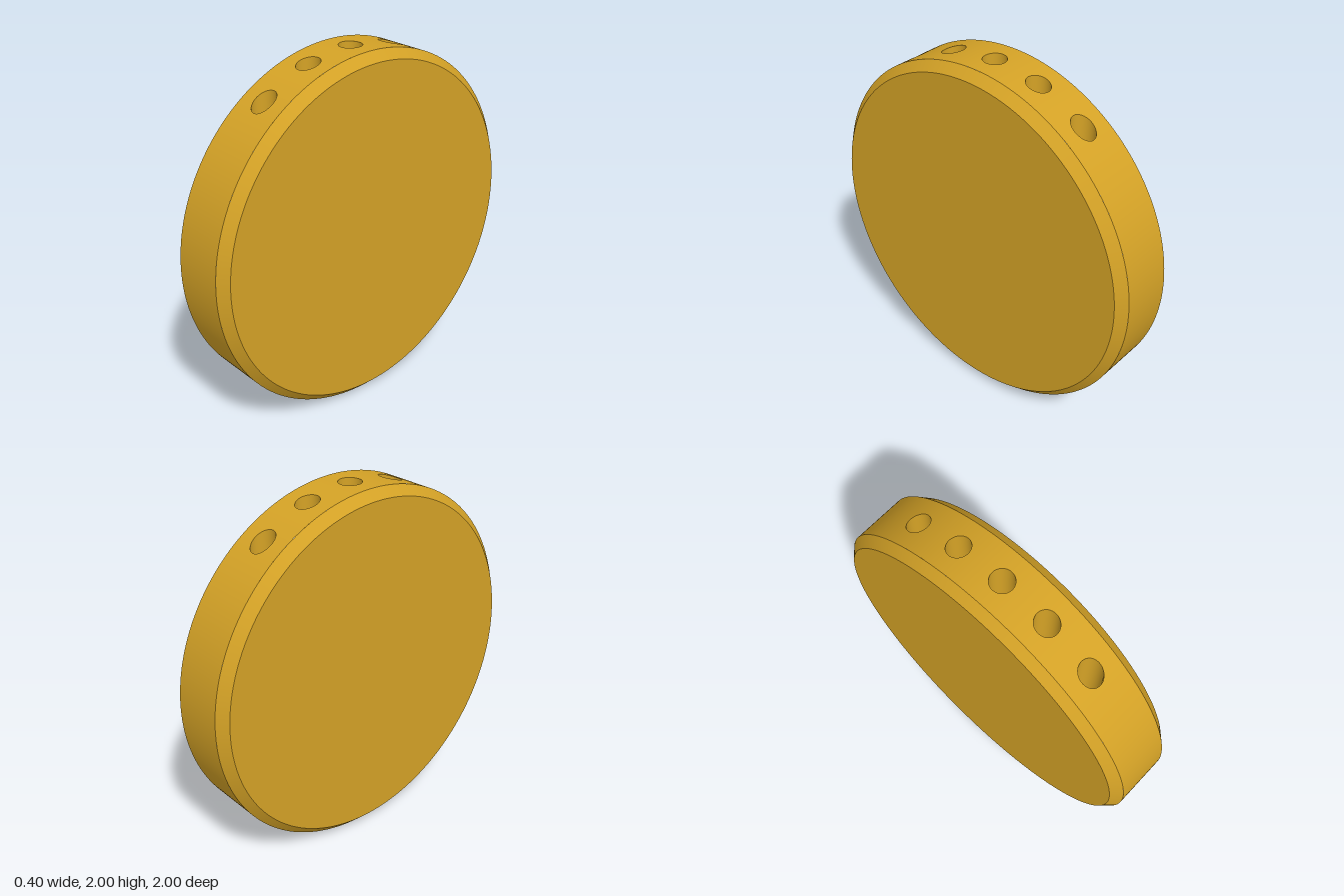
import * as THREE from 'three';
import { ParametricGeometry } from 'three/addons/geometries/ParametricGeometry.js';

const RIM = 0.15;      // half width of the flat rim
const HALF = 0.2;      // half thickness of the disc
const FACE_R = 0.95;   // radius of the flat faces
const HOLE_R = 0.0625;
const CELL = 0.1;      // half depth of the rim patch around each hole
const HOLES = [-0.555, -0.2775, 0, 0.2775, 0.555];

// Height of the unit rim above the disc centre at depth z
const rimY = (z) => Math.sqrt(1 - z * z);

// Plain strip of rim between two angles measured from the top
function rimArc(a0, a1, steps) {
  return new ParametricGeometry((u, v, p) => {
    const a = a0 + (a1 - a0) * v;
    p.set(RIM - 2 * RIM * u, Math.cos(a), Math.sin(a));
  }, 1, steps);
}

// Rim patch running from a hole's edge out to a rectangle
function rimAroundHole(z0) {
  return new ParametricGeometry((u, v, p) => {
    const c = Math.cos(u * Math.PI * 2), s = Math.sin(u * Math.PI * 2);
    const m = Math.max(Math.abs(c), Math.abs(s));
    const x = THREE.MathUtils.lerp(HOLE_R * c, RIM * c / m, v);
    const z = z0 + THREE.MathUtils.lerp(HOLE_R * s, CELL * s / m, v);
    p.set(x, rimY(z), z);
  }, 64, 5);
}

// Inward-facing wall of a hole passing right through the disc
function bore(z0) {
  return new ParametricGeometry((u, v, p) => {
    const t = u * Math.PI * 2;
    const z = z0 + HOLE_R * Math.sin(t);
    p.set(HOLE_R * Math.cos(t), rimY(z) * (2 * v - 1), z);
  }, 64, 1);
}

export function createModel() {
  const material = new THREE.MeshStandardMaterial({ color: 0xd4a226 });
  const model = new THREE.Group();
  model.name = 'drilledDisc';
  const disc = new THREE.Group();
  disc.name = 'disc';
  disc.position.y = 1;
  model.add(disc);

  const add = (parent, name, geometry) => {
    const mesh = new THREE.Mesh(geometry, material);
    mesh.name = name;
    parent.add(mesh);
  };

  // Flat faces and their chamfers
  for (const side of [1, -1]) {
    const half = new THREE.Group();
    half.name = side > 0 ? 'leftFace' : 'rightFace';
    if (side < 0) half.rotation.y = Math.PI;
    add(half, 'face', new THREE.CircleGeometry(FACE_R, 192).rotateY(Math.PI / 2).translate(HALF, 0, 0));
    add(half, 'chamfer', new THREE.CylinderGeometry(FACE_R, 1, HALF - RIM, 192, 1, true)
      .rotateZ(-Math.PI / 2).translate((HALF + RIM) / 2, 0, 0));
    disc.add(half);
  }

  // Rim: the lower half is the upper half turned about the disc's axis
  const outer = Math.asin(HOLES[4] + CELL);
  for (const turn of [0, Math.PI]) {
    const rim = new THREE.Group();
    rim.name = turn ? 'lowerRim' : 'upperRim';
    rim.rotation.x = turn;
    HOLES.forEach((z, i) => {
      add(rim, 'rimAroundHole', rimAroundHole(z));
      if (i < 4) add(rim, 'rimBetweenHoles', rimArc(Math.asin(z + CELL), Math.asin(HOLES[i + 1] - CELL), 4));
    });
    add(rim, 'sideRim', rimArc(outer, Math.PI - outer, 64));
    disc.add(rim);
  }

  // Five parallel through-holes
  HOLES.forEach((z) => add(disc, 'holeWall', bore(z)));
  return model;
}
